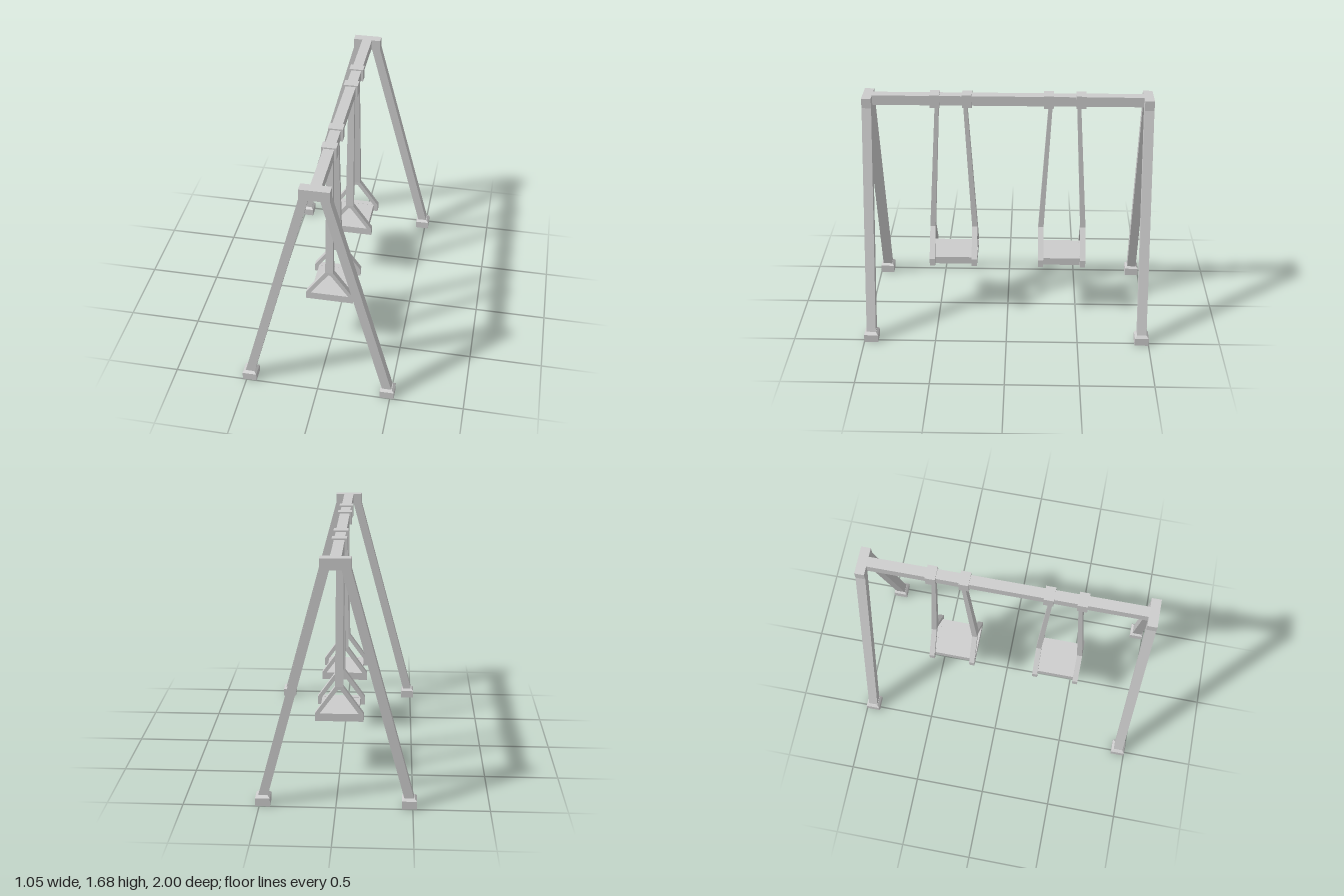
import * as THREE from 'three';

const material = new THREE.MeshStandardMaterial({ color: 0xcccccc, flatShading: true });

function add(parent, name, geometry, x = 0, y = 0, z = 0) {
  const mesh = new THREE.Mesh(geometry, material);
  mesh.name = name;
  mesh.position.set(x, y, z);
  parent.add(mesh);
  return mesh;
}

const polygon = (points) => points.map(([x, y]) => new THREE.Vector2(x, y));

// Flat outline extruded along z, centred on z = 0
function slab(points, depth, hole) {
  const shape = new THREE.Shape(polygon(points));
  if (hole) shape.holes.push(new THREE.Path(polygon(hole)));
  return new THREE.ExtrudeGeometry(shape, { depth, bevelEnabled: false }).translate(0, 0, -depth / 2);
}

// Box whose upper end has its own size and z offset; base at y = 0
function taperedBox(w0, d0, w1, d1, height, shiftZ = 0) {
  const geometry = new THREE.BoxGeometry(1, height, 1).translate(0, height / 2, 0);
  const p = geometry.attributes.position;
  for (let i = 0; i < p.count; i++) {
    const top = p.getY(i) > height / 2;
    p.setX(i, p.getX(i) * (top ? w1 : w0));
    p.setZ(i, p.getZ(i) * (top ? d1 : d0) + (top ? shiftZ : 0));
  }
  geometry.computeVertexNormals();
  return geometry;
}

// A-shaped end: two splayed legs joined by the head block
function createEndFrame() {
  const frame = new THREE.Group();
  frame.name = 'endFrame';
  const half = [[0.097, 1.668], [0.097, 1.6], [0.512, 0.05], [0.449, 0.05], [0.038, 1.593]];
  const mirrored = half.map(([x, y]) => [-x, y]).reverse();
  add(frame, 'legs', slab([...mirrored, ...half], 0.065));
  for (const side of [-1, 1]) {
    add(frame, 'foot', new THREE.BoxGeometry(0.097, 0.056, 0.098), side * 0.478, 0.028, 0);
    add(frame, 'footBevel', taperedBox(0.097, 0.098, 0.066, 0.068, 0.016), side * 0.478, 0.056, 0);
  }
  return frame;
}

// Seat hung from two triangular hangers, straps and beam clamps
function createSwing() {
  const swing = new THREE.Group();
  swing.name = 'swing';
  const outline = [[-0.165, 0.417], [0.165, 0.417], [0.165, 0.472], [0.028, 0.667], [-0.028, 0.667], [-0.165, 0.472]];
  const hole = [[-0.132, 0.472], [-0.008, 0.645], [0.008, 0.645], [0.132, 0.472]];
  add(swing, 'seat', new THREE.BoxGeometry(0.266, 0.053, 0.28), 0, 0.4445, 0);
  for (const side of [-1, 1]) {
    add(swing, 'hanger', slab(outline, 0.038, hole), 0, 0, side * 0.15);
    add(swing, 'strap', taperedBox(0.056, 0.038, 0.042, 0.027, 0.943, -side * 0.054), 0, 0.667, side * 0.15);
    add(swing, 'clamp', new THREE.BoxGeometry(0.098, 0.09, 0.067), 0, 1.633, side * 0.11);
  }
  return swing;
}

export function createModel() {
  const model = new THREE.Group();
  model.name = 'swingSet';
  add(model, 'topBeam', new THREE.BoxGeometry(0.07, 0.068, 1.85), 0, 1.634, 0);
  for (const side of [-1, 1]) {
    const frame = createEndFrame();
    frame.position.z = side * 0.951;
    const swing = createSwing();
    swing.position.z = side * 0.387;
    model.add(frame, swing);
  }
  return model;
}
